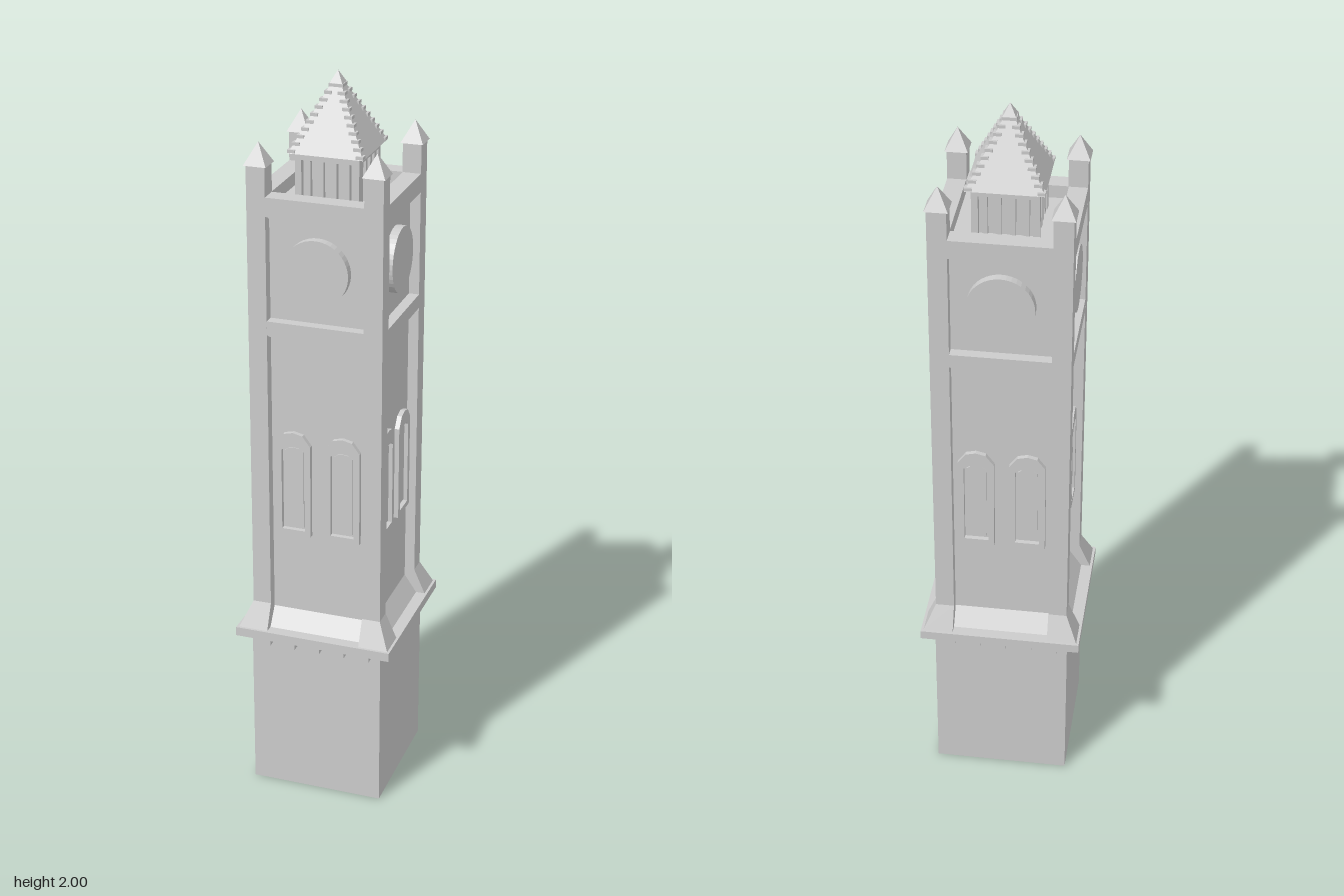
import * as THREE from 'three';

const mat = new THREE.MeshStandardMaterial({ color: 0xcccccc, flatShading: true });

function add(parent, name, geo, x = 0, y = 0, z = 0) {
  const m = new THREE.Mesh(geo, mat);
  m.name = name;
  m.position.set(x, y, z);
  parent.add(m);
  return m;
}

// Box given by its limits
function block(parent, name, x0, x1, y0, y1, z0, z1) {
  return add(parent, name, new THREE.BoxGeometry(x1 - x0, y1 - y0, z1 - z0),
    (x0 + x1) / 2, (y0 + y1) / 2, (z0 + z1) / 2);
}

// Box whose bottom and top rectangles [x0, x1, z0, z1] differ
function loft(parent, name, bottom, y0, top, y1) {
  const g = new THREE.BoxGeometry(1, 1, 1);
  const p = g.attributes.position;
  for (let i = 0; i < p.count; i++) {
    const up = p.getY(i) > 0;
    const r = up ? top : bottom;
    p.setXYZ(i, p.getX(i) < 0 ? r[0] : r[1], up ? y1 : y0, p.getZ(i) < 0 ? r[2] : r[3]);
  }
  g.computeVertexNormals();
  return add(parent, name, g);
}

// Square pyramid with base half-width r
function pyramid(parent, name, r, h, x, y, z) {
  const g = new THREE.ConeGeometry(r * Math.SQRT2, h, 4, 1).rotateY(Math.PI / 4);
  return add(parent, name, g, x, y + h / 2, z);
}

// Arched outline, centred on x = 0
function arch(Kind, hw, y0, spring, top) {
  const s = new Kind();
  s.moveTo(-hw, y0);
  s.lineTo(hw, y0);
  s.lineTo(hw, spring);
  s.lineTo(hw * 0.55, spring + (top - spring) * 0.82);
  s.lineTo(0, top);
  s.lineTo(-hw * 0.55, spring + (top - spring) * 0.82);
  s.lineTo(-hw, spring);
  s.closePath();
  return s;
}

const PIER_IN = 0.13, PIER_OUT = 0.18, WALL = 0.152;

// Everything that repeats on each of the four sides, built facing +z
function buildSide() {
  const side = new THREE.Group();
  side.name = 'towerSide';

  // Dentils under the ledge
  for (let i = -2; i <= 2; i++) {
    block(side, 'dentil', i * 0.07 - 0.016, i * 0.07 + 0.016, 0.442, 0.466, 0.17, 0.203);
  }

  // Sloped skirt at the foot of the wall
  loft(side, 'skirt', [-PIER_IN, PIER_IN, 0.1, 0.186], 0.49, [-PIER_IN, PIER_IN, 0.1, WALL], 0.54);

  // Stepped bands above the window wall and above the clock
  const bands = [[1.33, 1.38, 0.006], [1.65, 1.71, 0.005]];
  for (const [y0, y1, step] of bands) {
    for (let i = 0; i < 3; i++) {
      block(side, 'corniceStep', -PIER_IN, PIER_IN, y0 + i * step, y1, 0.131, WALL + (i + 1) * 0.0093);
    }
  }

  // Pair of arched windows
  for (const x of [-0.068, 0.068]) {
    const frame = arch(THREE.Shape, 0.048, 0.772, 1.035, 1.07);
    frame.holes.push(arch(THREE.Path, 0.032, 0.787, 1.018, 1.03));
    add(side, 'windowFrame', new THREE.ExtrudeGeometry(frame, { depth: 0.014, bevelEnabled: false }), x, 0, WALL - 0.001);
    const pane = arch(THREE.Shape, 0.026, 0.793, 1.013, 1.024);
    add(side, 'windowPane', new THREE.ExtrudeGeometry(pane, { depth: 0.005, bevelEnabled: false }), x, 0, WALL - 0.001);
  }

  // Clock face
  const dial = new THREE.CylinderGeometry(0.087, 0.087, 0.024, 40).rotateX(Math.PI / 2);
  add(side, 'clockFace', dial, 0, 1.522, WALL + 0.011);

  // Slats of the lantern
  for (const x of [-0.052, -0.0175, 0.0175, 0.052]) {
    block(side, 'lanternSlat', x - 0.007, x + 0.007, 1.675, 1.79, 0.06, 0.082);
  }
  block(side, 'lanternRail', -0.085, 0.085, 1.785, 1.805, 0.06, 0.085);
  return side;
}

export function createModel() {
  const tower = new THREE.Group();
  tower.name = 'clockTower';

  // Base, ledge and core
  block(tower, 'base', -0.183, 0.183, 0, 0.466, -0.183, 0.183);
  block(tower, 'ledge', -0.218, 0.218, 0.465, 0.49, -0.218, 0.218);
  block(tower, 'wallCore', -WALL, WALL, 0.48, 1.655, -WALL, WALL);
  block(tower, 'roofDeck', -0.14, 0.14, 1.65, 1.675, -0.14, 0.14);

  // Four sides
  for (let i = 0; i < 4; i++) {
    const side = buildSide();
    side.rotation.y = i * Math.PI / 2;
    tower.add(side);
  }

  // Corner piers with flared feet and pinnacles
  const span = (s, a, b) => (s > 0 ? [a, b] : [-b, -a]);
  for (const sx of [-1, 1]) {
    for (const sz of [-1, 1]) {
      const px = span(sx, PIER_IN, PIER_OUT), pz = span(sz, PIER_IN, PIER_OUT);
      const fx = span(sx, PIER_IN, 0.211), fz = span(sz, PIER_IN, 0.211);
      block(tower, 'cornerPier', px[0], px[1], 0.49, 1.79, pz[0], pz[1]);
      loft(tower, 'pierFoot', [...fx, ...fz], 0.49, [...px, ...pz], 0.56);
      pyramid(tower, 'pinnacle', 0.03, 0.057, sx * 0.155, 1.788, sz * 0.155);
      // Lantern corner posts
      const cx = span(sx, 0.068, 0.085), cz = span(sz, 0.068, 0.085);
      block(tower, 'lanternPost', cx[0], cx[1], 1.67, 1.8, cz[0], cz[1]);
    }
  }

  // Lantern core and spire
  block(tower, 'lanternCore', -0.068, 0.068, 1.67, 1.805, -0.068, 0.068);
  const y0 = 1.803, h = 0.19;
  pyramid(tower, 'spire', 0.099, h, 0, y0, 0);
  pyramid(tower, 'finial', 0.017, 0.032, 0, 1.968, 0);

  // Small blocks stepping up the spire ridges
  const steps = 10;
  for (let i = 0; i < steps; i++) {
    const t = (i + 0.35) / (steps + 1);
    const r = 0.099 * (1 - t) - 0.006;
    for (const sx of [-1, 1]) {
      for (const sz of [-1, 1]) {
        add(tower, 'ridgeBlock', new THREE.BoxGeometry(0.02, 0.008, 0.02), sx * r, y0 + t * h, sz * r);
      }
    }
  }
  return tower;
}
